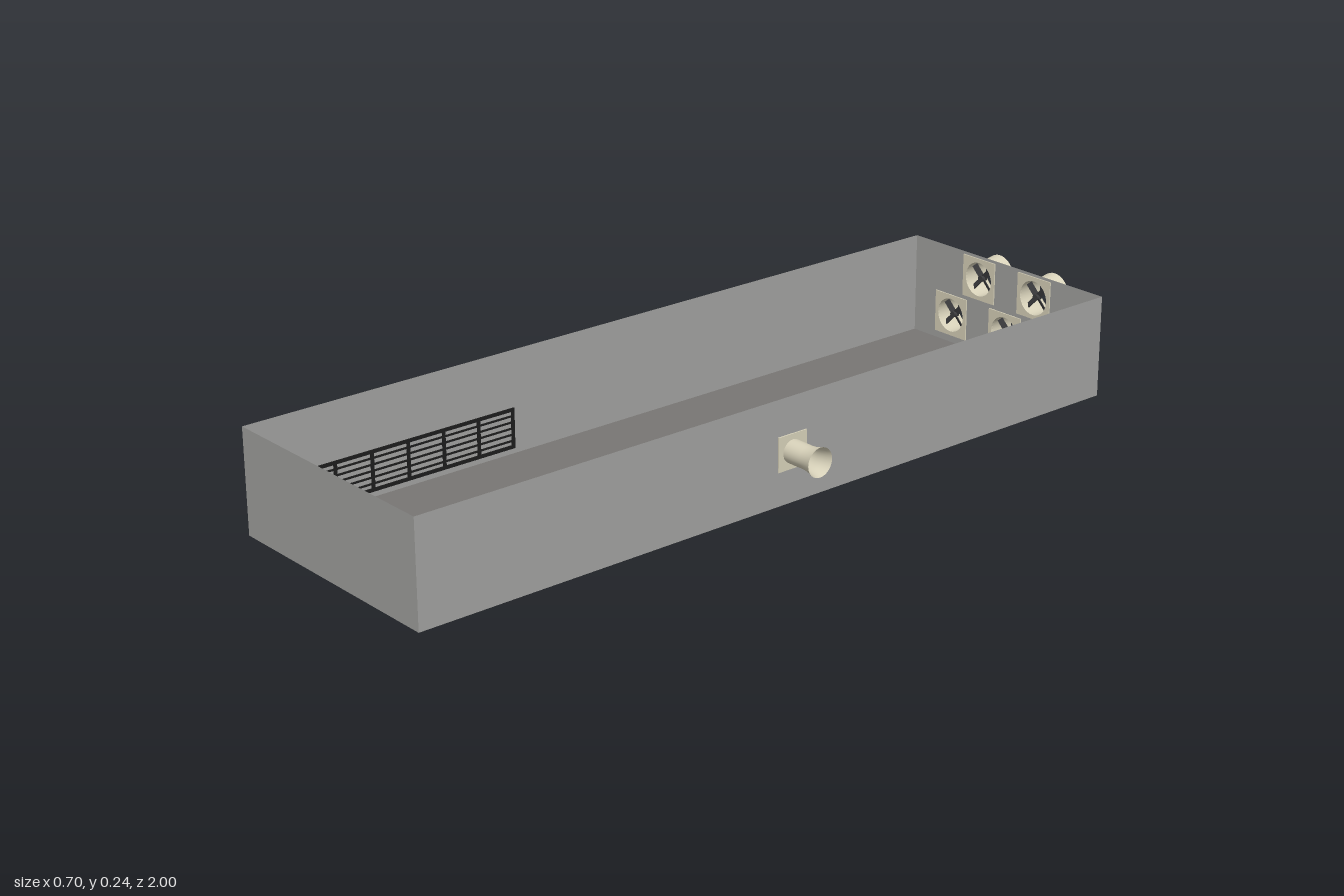
import * as THREE from 'three';

const mat = (name, color) => {
  const m = new THREE.MeshStandardMaterial({ color, side: THREE.DoubleSide });
  m.name = name;
  return m;
};

export function createModel() {
  const wallGrey = mat('wallGrey', 0xa2a2a0);
  const floorGrey = mat('floorGrey', 0x787674);
  const cream = mat('cream', 0xd8d2ba);
  const dark = mat('darkGrey', 0x3c3c3e);
  const black = mat('ventBlack', 0x1c1c1c);

  const model = new THREE.Group();
  model.name = 'ventilatedHall';
  const add = (parent, name, geo, material, x = 0, y = 0, z = 0) => {
    const m = new THREE.Mesh(geo, material);
    m.name = name;
    m.position.set(x, y, z);
    parent.add(m);
    return m;
  };

  // Hall extents
  const X0 = -0.35, X1 = 0.257, Z0 = -0.93, Z1 = 1, H = 0.244;
  const W = X1 - X0, L = Z1 - Z0, cx = (X0 + X1) / 2, cz = (Z0 + Z1) / 2;

  // Floor and plain walls, open at the top
  add(model, 'floor', new THREE.PlaneGeometry(W, L).rotateX(-Math.PI / 2), floorGrey, cx, 0, cz);
  add(model, 'frontWall', new THREE.PlaneGeometry(W, H), wallGrey, cx, H / 2, Z1);
  add(model, 'leftWall', new THREE.PlaneGeometry(L, H).rotateY(Math.PI / 2), wallGrey, X1, H / 2, cz);
  add(model, 'rightWall', new THREE.PlaneGeometry(L, H).rotateY(-Math.PI / 2), wallGrey, X0, H / 2, cz);

  // Back wall with round fan openings: three low, two high between them
  const R = 0.042;
  const fans = [-2, -1, 0, 1, 2].map(i => [-0.045 + i * 0.09, i % 2 ? 0.185 : 0.07]);
  const back = new THREE.Shape();
  back.moveTo(X0, 0).lineTo(X1, 0).lineTo(X1, H).lineTo(X0, H).closePath();
  for (const [x, y] of fans) back.holes.push(new THREE.Path().absarc(x, y, R, 0, Math.PI * 2, true));
  add(model, 'backWall', new THREE.ShapeGeometry(back, 16), wallGrey, 0, 0, Z0);

  // Square mounting plate with a round hole
  const plateGeometry = (half, r) => {
    const s = new THREE.Shape();
    s.moveTo(-half, -half).lineTo(half, -half).lineTo(half, half).lineTo(-half, half).closePath();
    s.holes.push(new THREE.Path().absarc(0, 0, r, 0, Math.PI * 2, true));
    return new THREE.ExtrudeGeometry(s, { depth: 0.006, bevelEnabled: false, curveSegments: 16 }).translate(0, 0, -0.003);
  };

  // Open duct around z from [radius, z] pairs
  const ductGeometry = points =>
    new THREE.LatheGeometry(points.map(([r, z]) => new THREE.Vector2(r, z)), 32).rotateX(Math.PI / 2);

  // Pitched blades and hub
  const addRotor = (parent, count, r, width, z) => {
    for (let i = 0; i < count; i++) {
      const blade = new THREE.BoxGeometry(r, width, 0.002).rotateX(0.5).translate(r / 2, 0, 0)
        .rotateZ(Math.PI / 4 + i * Math.PI * 2 / count);
      add(parent, 'fanBlade', blade, dark, 0, 0, z);
    }
    add(parent, 'fanHub', new THREE.CylinderGeometry(r * 0.2, r * 0.2, 0.016, 16).rotateX(Math.PI / 2), dark, 0, 0, z);
  };

  // Exhaust fans on the back wall
  for (const [x, y] of fans) {
    const fan = new THREE.Group();
    fan.name = 'exhaustFan';
    fan.position.set(x, y, Z0);
    fan.rotation.y = Math.PI;
    add(fan, 'fanPlate', plateGeometry(0.052, R), cream);
    add(fan, 'fanDuct', ductGeometry([[R, -0.003], [R, 0.03], [0.043, 0.05], [0.046, 0.07]]), cream);
    addRotor(fan, 4, 0.039, 0.014, 0.012);
    model.add(fan);
  }

  // Smaller flared fan on the side wall, with its motor end inside
  const side = new THREE.Group();
  side.name = 'sideFan';
  side.position.set(X1, 0.119, 0.033);
  side.rotation.y = Math.PI / 2;
  add(side, 'sideFanPlate', plateGeometry(0.04, 0.027), cream);
  add(side, 'sideFanDuct', ductGeometry([[0.027, -0.032], [0.027, 0.03], [0.0265, 0.05], [0.028, 0.065],
    [0.031, 0.079], [0.034, 0.088]]), cream);
  add(side, 'sideFanScreen', new THREE.CircleGeometry(0.0268, 32), dark, 0, 0, 0.004);
  addRotor(side, 8, 0.026, 0.012, -0.022);
  model.add(side);

  // Air inlet on the right wall: frame, dividers and inner slats
  const inlet = new THREE.Group();
  inlet.name = 'airInlet';
  inlet.position.set(X0, 0.061, 0.596);
  const len = 0.56, high = 0.088, bar = 0.008;
  for (const s of [-1, 1])
    add(inlet, 'inletRail', new THREE.BoxGeometry(0.006, bar, len + bar), black, 0, s * high / 2, 0);
  for (let i = 0; i <= 6; i++)
    add(inlet, 'inletDivider', new THREE.BoxGeometry(0.006, high, bar), black, 0, 0, (i / 6 - 0.5) * len);
  for (let i = 1; i <= 5; i++)
    add(inlet, 'inletSlat', new THREE.BoxGeometry(0.003, 0.004, len), black, 0.002, (i / 6 - 0.5) * high, 0);
  model.add(inlet);

  return model;
}
